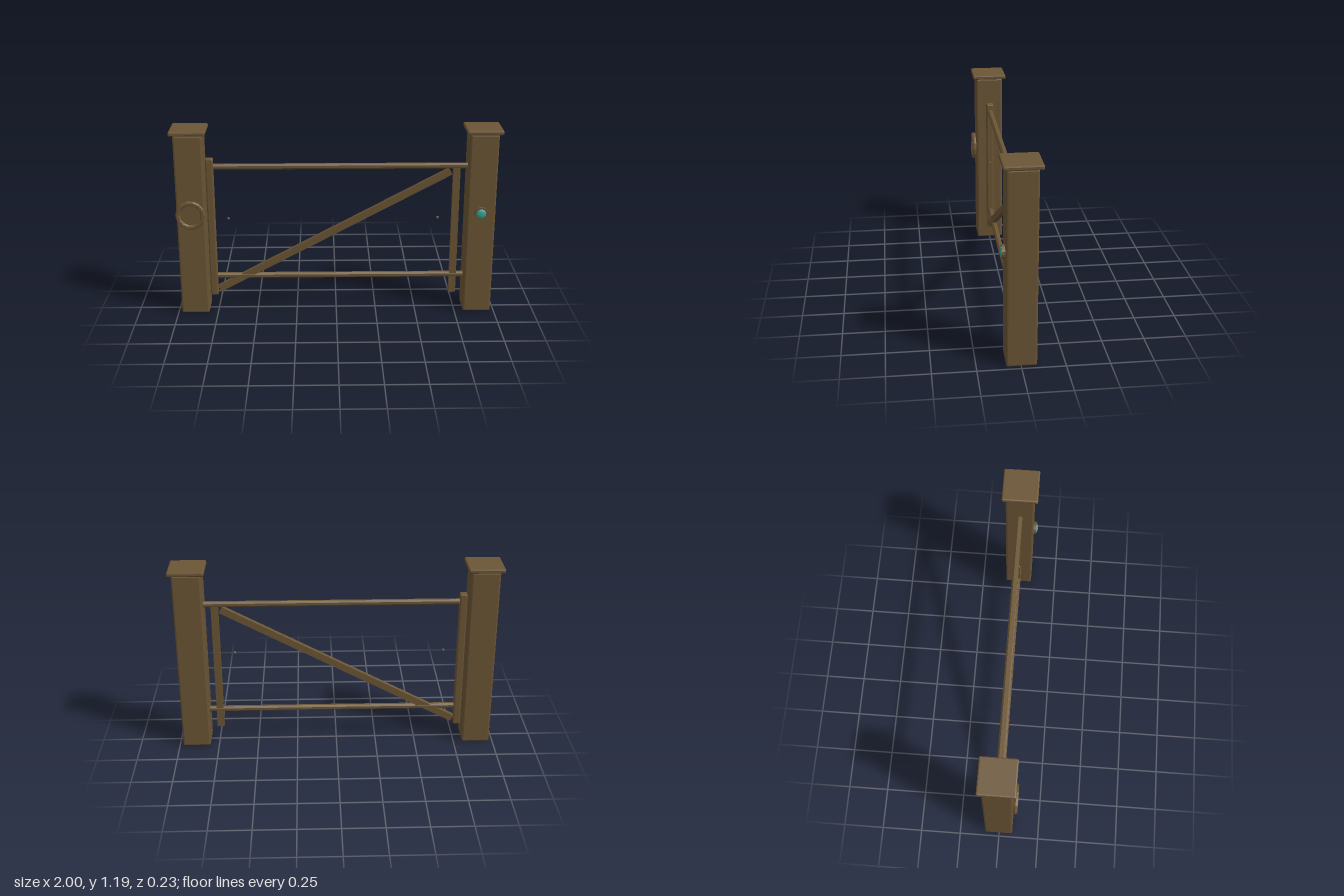
import * as THREE from 'three';
import { RoundedBoxGeometry } from 'three/addons/geometries/RoundedBoxGeometry.js';

const Z = -0.003; // centre plane of posts and gate

export function createModel() {
  const root = new THREE.Group();
  const wood = new THREE.MeshStandardMaterial({ color: 0x6b5535, flatShading: true });
  const teal = new THREE.MeshStandardMaterial({ color: 0x3aa79c, flatShading: true });

  const add = (name, geometry, x, y, z, parent = root, material = wood) => {
    const mesh = new THREE.Mesh(geometry, material);
    mesh.name = name;
    mesh.position.set(x, y, z);
    parent.add(mesh);
    return mesh;
  };
  // Box with chamfered edges
  const chamfered = (w, h, d, r) => new RoundedBoxGeometry(w, h, d, 1, r);

  // Posts with flat caps
  for (const [side, s] of [['right', -1], ['left', 1]]) {
    const post = new THREE.Group();
    post.name = side + 'Post';
    root.add(post);
    add('postShaft', chamfered(0.174, 1.162, 0.174, 0.01), s * 0.891, 0.581, Z, post);
    add('postCap', chamfered(0.218, 0.028, 0.218, 0.008), s * 0.891, 1.177, Z, post);
  }

  // Gate frame
  const gate = new THREE.Group();
  gate.name = 'gate';
  root.add(gate);
  add('hingeStile', chamfered(0.047, 0.905, 0.047, 0.008), -0.774, 0.545, Z, gate);
  add('latchStile', new THREE.BoxGeometry(0.044, 0.83, 0.03), 0.739, 0.516, Z, gate);

  // Eight-sided rails
  for (const [name, y] of [['topRail', 0.944], ['bottomRail', 0.222]]) {
    const geometry = new THREE.CylinderGeometry(0.0185, 0.0185, 1.57, 8);
    geometry.rotateY(Math.PI / 8).rotateZ(Math.PI / 2);
    add(name, geometry, 0.025, y, Z, gate);
  }

  // Diagonal brace
  const from = new THREE.Vector2(-0.741, 0.133), to = new THREE.Vector2(0.702, 0.909);
  const span = to.clone().sub(from);
  const brace = add('diagonalBrace', new THREE.BoxGeometry(span.length(), 0.043, 0.03),
    (from.x + to.x) / 2, (from.y + to.y) / 2, Z, gate);
  brace.rotation.z = span.angle();

  // Small studs
  for (const x of [-0.668, 0.63]) {
    add('stud', new THREE.SphereGeometry(0.009, 8, 6), x, 0.61, 0.009, gate);
  }

  // Ring on the right post
  add('ring', new THREE.TorusGeometry(0.078, 0.0145, 6, 14), -0.891, 0.665, 0.1005);

  // Round inset on the left post
  const bezel = new THREE.CylinderGeometry(0.04, 0.04, 0.02, 16).rotateX(Math.PI / 2);
  add('insetBezel', bezel, 0.887, 0.665, 0.092);
  const gem = new THREE.SphereGeometry(0.03, 16, 8).rotateX(Math.PI / 2).scale(1, 1, 0.35);
  add('insetGem', gem, 0.887, 0.665, 0.101, root, teal);

  return root;
}
